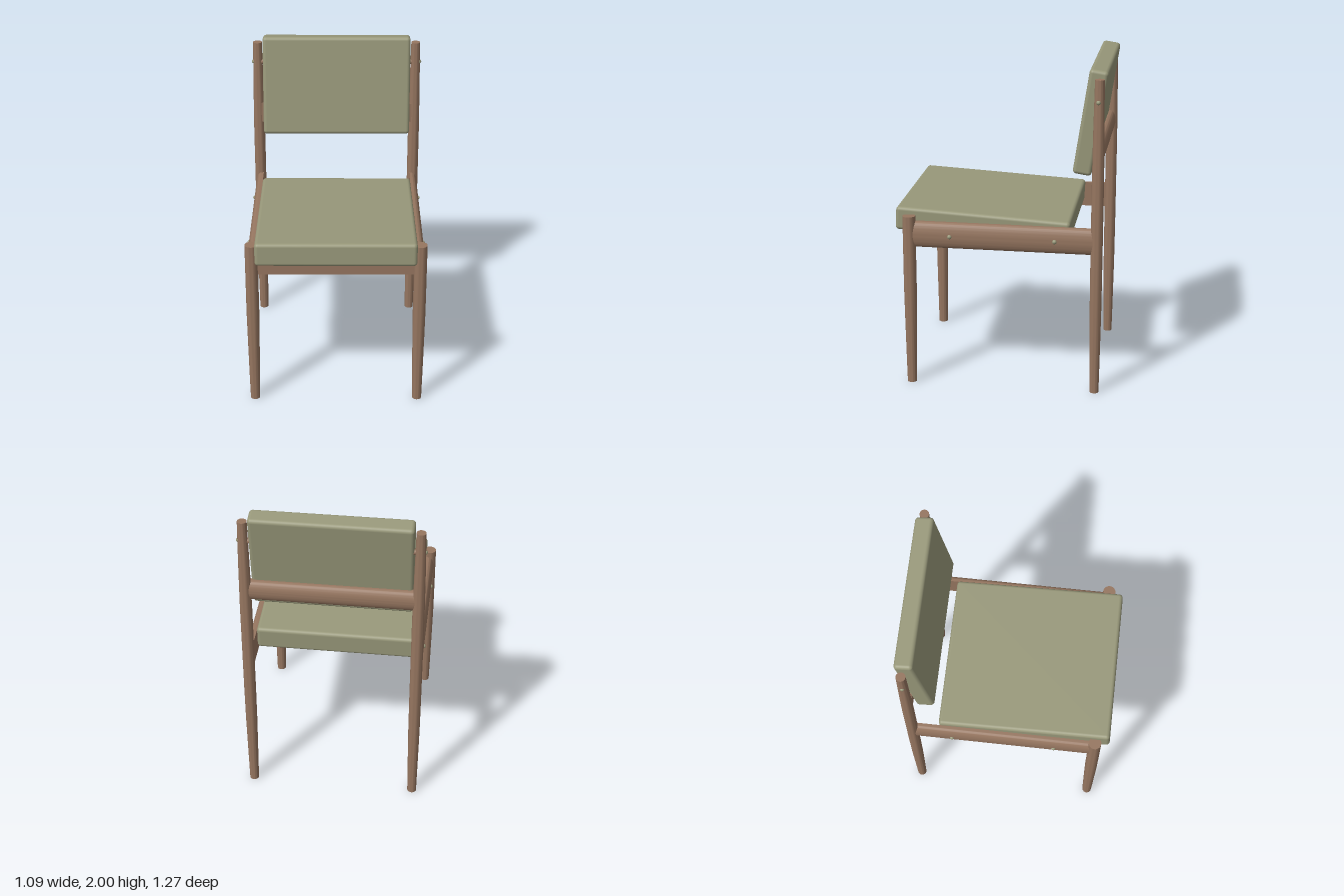
import * as THREE from 'three';
import { toCreasedNormals } from 'three/addons/utils/BufferGeometryUtils.js';
import { RoundedBoxGeometry } from 'three/addons/geometries/RoundedBoxGeometry.js';

const wood = new THREE.MeshStandardMaterial({ name: 'wood', color: 0x967660 });
const fabric = new THREE.MeshStandardMaterial({ name: 'sageFabric', color: 0x98987a });

// Turned leg from [radius, height] points, closed at both ends
function legGeometry(points) {
  const top = points[points.length - 1][1];
  const profile = [[0, 0], ...points, [0, top]].map(([r, y]) => new THREE.Vector2(r, y));
  return toCreasedNormals(new THREE.LatheGeometry(profile, 28), 0.6);
}

// Rail running along z: flat inner face at x = 0, rounded outer face towards +x
function railGeometry(length, height, thickness) {
  const flat = thickness * 0.35;
  const shape = new THREE.Shape();
  shape.moveTo(0, -height / 2);
  shape.lineTo(flat, -height / 2);
  shape.absellipse(flat, 0, thickness - flat, height / 2, -Math.PI / 2, Math.PI / 2, false);
  shape.lineTo(0, height / 2);
  shape.closePath();
  const geometry = new THREE.ExtrudeGeometry(shape, { depth: length, bevelEnabled: false, curveSegments: 16 });
  geometry.translate(0, 0, -length / 2);
  return toCreasedNormals(geometry, 0.6);
}

export function createModel() {
  const chair = new THREE.Group();
  chair.name = 'chair';

  function add(name, geometry, material, x, y, z) {
    const mesh = new THREE.Mesh(geometry, material);
    mesh.name = name;
    mesh.position.set(x, y, z);
    chair.add(mesh);
    return mesh;
  }

  const frontLeg = legGeometry([[0.029, 0], [0.032, 0.15], [0.036, 0.4], [0.039, 0.62], [0.039, 1.08]]);
  const backLeg = legGeometry([
    [0.028, 0], [0.031, 0.2], [0.035, 0.5], [0.036, 0.75], [0.036, 1.35], [0.033, 1.65], [0.028, 1.95],
  ]);
  const sideRail = railGeometry(1.1, 0.16, 0.05);
  const screwHead = new THREE.SphereGeometry(0.014, 16, 10);

  // Legs, side rails and screw heads on each side
  for (const [side, s] of [['left', 1], ['right', -1]]) {
    add(side + 'FrontLeg', frontLeg, wood, s * 0.507, 0, 0.547);
    add(side + 'BackLeg', backLeg, wood, s * 0.507, 0, -0.59);
    const rail = add(side + 'SideRail', sideRail, wood, s * 0.485, 0.965, -0.02);
    if (s < 0) rail.rotation.y = Math.PI;
    for (const [y, z] of [[0.965, 0.295], [0.965, -0.34], [1.82, -0.587]]) {
      add(side + 'ScrewHead', screwHead, fabric, s * 0.532, y, z);
    }
    // Short peg joining the backrest to the leg
    const peg = add(side + 'BackrestPeg', new THREE.CylinderGeometry(0.018, 0.018, 0.06, 20), wood, s * 0.465, 1.82, -0.587);
    peg.rotation.z = Math.PI / 2;
  }

  // Cross rails
  add('frontRail', new THREE.BoxGeometry(0.98, 0.115, 0.045), wood, 0, 0.9425, 0.535);
  const backRail = add('backRail', railGeometry(0.98, 0.13, 0.055), wood, 0, 1.475, -0.56);
  backRail.rotation.y = Math.PI / 2;

  // Cushions: the seat falls to the rear, the backrest leans back
  const seat = add('seatCushion', new RoundedBoxGeometry(0.968, 0.145, 1.062, 5, 0.022), fabric, 0, 1.025, 0.106);
  seat.rotation.x = -0.052;
  const backrest = add('backrestCushion', new RoundedBoxGeometry(0.944, 0.634, 0.112, 5, 0.022), fabric, 0, 1.68, -0.536);
  backrest.rotation.x = -0.15;

  return chair;
}
